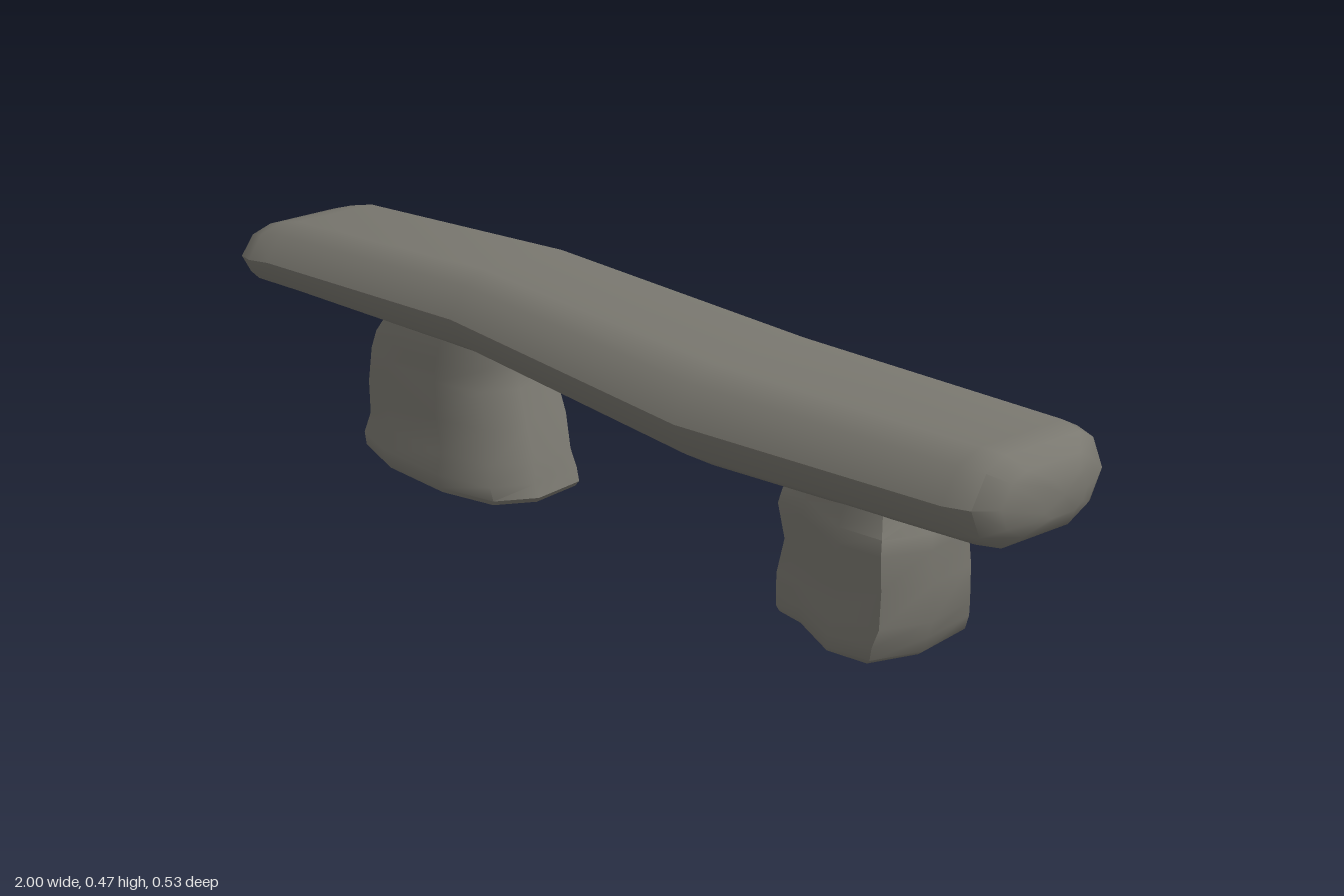
import * as THREE from 'three';
import { toCreasedNormals } from 'three/addons/utils/BufferGeometryUtils.js';

// Skins a list of equal-length rings of [x, y, z] points and closes both ends.
function loft(rings) {
  const n = rings[0].length;
  const pos = rings.flat(2);
  const index = [];
  for (let k = 0; k < rings.length - 1; k++) {
    for (let i = 0; i < n; i++) {
      const j = (i + 1) % n;
      const a = k * n + i, b = k * n + j, c = b + n, d = a + n;
      index.push(a, b, c, a, c, d);
    }
  }
  const cap = (k, flip) => {
    const centre = pos.length / 3;
    for (let axis = 0; axis < 3; axis++) {
      pos.push(rings[k].reduce((sum, p) => sum + p[axis], 0) / n);
    }
    for (let i = 0; i < n; i++) {
      const a = k * n + i, b = k * n + (i + 1) % n;
      index.push(centre, flip ? b : a, flip ? a : b);
    }
  };
  cap(0, true);
  cap(rings.length - 1, false);
  const geometry = new THREE.BufferGeometry();
  geometry.setAttribute('position', new THREE.Float32BufferAttribute(pos, 3));
  geometry.setIndex(index);
  return toCreasedNormals(geometry, 0.85);
}

// Maps -1..1 onto lo..hi.
const fit = (t, lo, hi) => (lo + hi) / 2 + t * (hi - lo) / 2;

export function createModel() {
  const group = new THREE.Group();
  const stone = new THREE.MeshStandardMaterial({ color: 0x7a7870 });
  const add = (name, rings) => {
    const mesh = new THREE.Mesh(loft(rings), stone);
    mesh.name = name;
    group.add(mesh);
  };

  // Seat slab: rounded [y, z] outline, sections [x, bottom, top, back, front]
  const slabOutline = [
    [1, -0.6], [1, 0.5], [0.75, 0.8], [0.05, 1], [-0.6, 0.86],
    [-1, 0.52], [-1, -0.5], [-0.65, -0.83], [0, -1], [0.75, -0.83],
  ];
  const slabSections = [
    [-1.0, 0.32, 0.4, 0.0, 0.21],
    [-0.975, 0.305, 0.42, -0.04, 0.25],
    [-0.93, 0.3, 0.435, -0.06, 0.262],
    [-0.87, 0.3, 0.45, -0.07, 0.256],
    [-0.33, 0.3, 0.475, -0.15, 0.19],
    [0.3, 0.26, 0.455, -0.23, 0.16],
    [0.9, 0.29, 0.468, -0.268, 0.085],
    [0.955, 0.3, 0.468, -0.245, 0.07],
    [0.985, 0.325, 0.445, -0.2, 0.03],
    [1.0, 0.35, 0.42, -0.16, -0.05],
  ];
  add('seatSlab', slabSections.map(([x, y0, y1, z0, z1]) =>
    slabOutline.map(([v, w]) => [x, fit(v, y0, y1), fit(w, z0, z1)])));

  // Legs: worn [x, z] outline, sections [y, left, right, back, front]
  const leg = (name, outline, sections) => add(name,
    sections.map(([y, x0, x1, z0, z1]) =>
      outline.map(([u, w]) => [fit(u, x0, x1), y, fit(w, z0, z1)])));

  leg('rightLeg', [
    [-0.45, 1], [0.3, 0.95], [0.82, 0.65], [1, 0.05], [0.93, -0.8],
    [0.45, -1], [-0.4, -0.95], [-0.85, -0.7], [-1, 0], [-0.9, 0.8],
  ], [
    [0.0, -0.7, -0.25, -0.085, 0.17],
    [0.012, -0.712, -0.24, -0.09, 0.178],
    [0.04, -0.712, -0.247, -0.09, 0.182],
    [0.08, -0.708, -0.258, -0.08, 0.165],
    [0.15, -0.706, -0.278, -0.085, 0.168],
    [0.22, -0.706, -0.305, -0.08, 0.156],
    [0.26, -0.69, -0.315, -0.08, 0.153],
    [0.29, -0.665, -0.315, -0.075, 0.15],
    [0.36, -0.65, -0.32, -0.06, 0.13],
  ]);

  leg('leftLeg', [
    [0.25, 1], [0.8, 0.85], [1, 0.1], [0.88, -0.8], [0.35, -1],
    [-0.5, -0.95], [-0.93, -0.6], [-1, 0.1], [-0.9, 0.65], [-0.5, 0.68],
  ], [
    [0.0, 0.415, 0.72, -0.195, 0.06],
    [0.012, 0.41, 0.735, -0.202, 0.068],
    [0.04, 0.41, 0.742, -0.205, 0.07],
    [0.08, 0.412, 0.76, -0.186, 0.068],
    [0.15, 0.427, 0.755, -0.188, 0.062],
    [0.22, 0.417, 0.762, -0.172, 0.07],
    [0.25, 0.425, 0.757, -0.172, 0.065],
    [0.285, 0.44, 0.735, -0.17, 0.045],
    [0.36, 0.45, 0.72, -0.16, 0.035],
  ]);

  return group;
}
